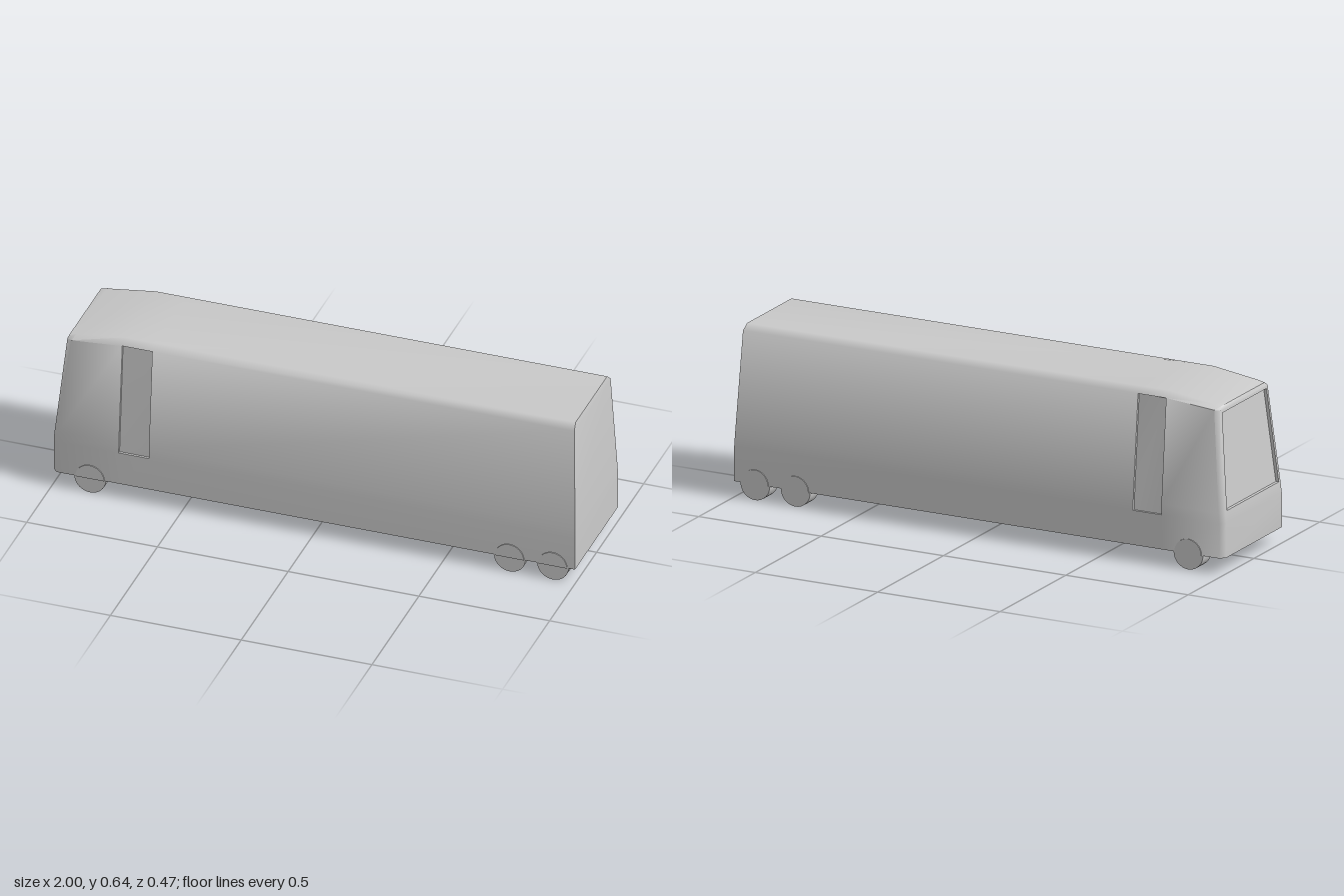
import * as THREE from 'three';
import { toCreasedNormals } from 'three/addons/utils/BufferGeometryUtils.js';

const material = new THREE.MeshStandardMaterial({ color: 0xcccccc, side: THREE.DoubleSide });

function addMesh(parent, geometry, name) {
  const mesh = new THREE.Mesh(geometry, material);
  mesh.name = name;
  parent.add(mesh);
  return mesh;
}

// Collects convex polygons (counter-clockwise from outside) into a geometry
function polygons(list, crease) {
  const pos = [];
  for (const p of list) {
    for (let k = 1; k < p.length - 1; k++) pos.push(...p[0], ...p[k], ...p[k + 1]);
  }
  const g = new THREE.BufferGeometry();
  g.setAttribute('position', new THREE.Float32BufferAttribute(pos, 3));
  return toCreasedNormals(g, crease);
}

// A sunken panel: jambs around the loop and a pane at the bottom
function recess(loop, offset) {
  const inner = loop.map((p) => p.map((v, k) => v + offset[k]));
  const n = loop.length;
  const jambs = loop.map((p, k) => [p, loop[(k + 1) % n], inner[(k + 1) % n], inner[k]]);
  return polygons([...jambs, inner], 0.4);
}

// Cross-section: half profile going up the +z side, mirrored to the -z side
function ring(xs, ys, zs) {
  const half = xs.map((x, k) => [x, ys[k], zs[k]]);
  return [...half, ...half.map(([x, y, z]) => [x, y, -z]).reverse()];
}

const lerp = (a, b, t) => a.map((v, k) => v + (b[k] - v) * t);

export function createModel() {
  const group = new THREE.Group();
  group.name = 'bus';

  // Body cross-sections from nose to tail
  const ys = [0.06, 0.19, 0.23, 0.62, 0.642];
  const zs = [0.23, 0.23, 0.229, 0.193, 0.168];
  const rings = [
    ring([-1, -1, -0.996, -0.96, -0.955], [0.06, 0.19, 0.23, 0.6, 0.612], [0.212, 0.212, 0.21, 0.178, 0.165]),
    ring([-0.982, -0.982, -0.978, -0.94, -0.93], [0.06, 0.19, 0.23, 0.602, 0.617], [0.23, 0.23, 0.229, 0.19, 0.166]),
    ring(Array(5).fill(-0.745), ys, zs),
    ring(Array(5).fill(-0.63), ys, zs),
    ring([1, 1, 0.999, 0.984, 0.98], ys, [0.23, 0.23, 0.2265, 0.193, 0.168]),
  ];

  // Skin, leaving the door openings free
  const skin = [];
  const doorStation = 2;
  for (let i = 0; i < rings.length - 1; i++) {
    for (let j = 0; j < 10; j++) {
      if (i === doorStation && [1, 2, 6, 7].includes(j)) continue;
      const n = (j + 1) % 10;
      skin.push([rings[i][j], rings[i + 1][j], rings[i + 1][n], rings[i][n]]);
    }
  }

  // Tail wall, and nose wall with a windscreen opening
  const tail = rings[4];
  const nose = rings[0];
  for (let k = 0; k < 4; k++) {
    skin.push([tail[k], tail[9 - k], tail[8 - k], tail[k + 1]]);
    if (k !== 2) skin.push([nose[9 - k], nose[k], nose[k + 1], nose[8 - k]]);
  }
  const [a, b, c, d] = [nose[7], nose[2], nose[3], nose[6]];
  const at = (u, v) => lerp(lerp(a, b, u), lerp(d, c, u), v);
  const frame = [a, b, c, d];
  const screen = [at(0.03, 0.01), at(0.97, 0.01), at(0.97, 0.97), at(0.03, 0.97)];
  for (let k = 0; k < 4; k++) {
    const n = (k + 1) % 4;
    skin.push([frame[k], frame[n], screen[n], screen[k]]);
  }
  addMesh(group, polygons(skin, 0.9), 'body');
  addMesh(group, recess(screen, [0.012, 0, 0]), 'windscreen');

  // Recessed doors on both sides
  const [r, s] = [rings[doorStation], rings[doorStation + 1]];
  for (const [j, side, name] of [[1, 1, 'frontSideDoor'], [6, -1, 'backSideDoor']]) {
    const loop = [r[j], s[j], s[j + 1], s[j + 2], r[j + 2], r[j + 1]];
    addMesh(group, recess(loop, [0, 0, -0.009 * side]), name);
  }

  // Wheels, each with a raised half-round arch cover
  const wheel = new THREE.CylinderGeometry(0.06, 0.06, 0.064, 32).rotateX(Math.PI / 2);
  const arch = new THREE.ExtrudeGeometry(new THREE.Shape().absarc(0, 0, 0.055, 0, Math.PI), {
    depth: 0.01, bevelEnabled: false, curveSegments: 16,
  }).translate(0, 0, -0.005);
  for (const x of [-0.855, 0.75, 0.915]) {
    for (const side of [1, -1]) {
      addMesh(group, wheel, 'wheel').position.set(x, 0.06, 0.197 * side);
      addMesh(group, arch, 'wheelArch').position.set(x, 0.06, 0.2285 * side);
    }
  }
  return group;
}
